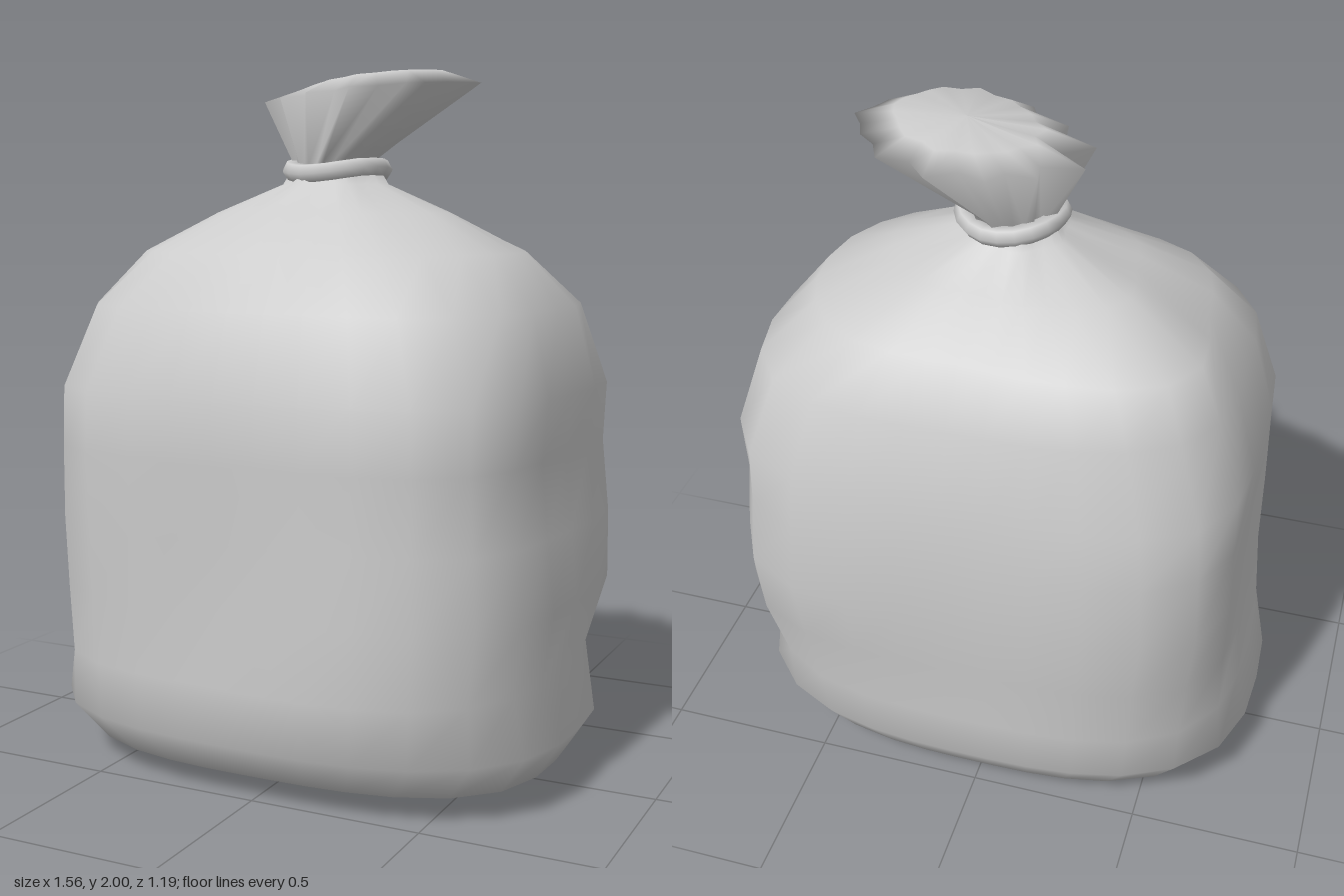
import * as THREE from 'three';

const material = new THREE.MeshStandardMaterial({ color: 0xcccccc, side: THREE.DoubleSide });

// Smooth surface through closed rings of points, listed from bottom to top
function loft(name, rings) {
  const n = rings[0].length;
  const index = [];
  for (let r = 0; r < rings.length - 1; r++) {
    for (let i = 0; i < n; i++) {
      const j = (i + 1) % n;
      const a = r * n + i, b = r * n + j, c = a + n, d = b + n;
      index.push(a, c, b, b, c, d);
    }
  }
  const geometry = new THREE.BufferGeometry();
  geometry.setAttribute('position', new THREE.Float32BufferAttribute(rings.flat(2), 3));
  geometry.setIndex(index);
  geometry.computeVertexNormals();
  const mesh = new THREE.Mesh(geometry, material);
  mesh.name = name;
  return mesh;
}

// One ring: place(angle, i) gives each point; angle runs from +x towards +z
const ring = (n, place) =>
  Array.from({ length: n }, (_, i) => place((i / n) * Math.PI * 2, i));

// Bulges (+) and dents (-) in the sack: angle, height, height spread, amount
const dents = [
  [Math.PI, 0.85, 0.5, -0.05], // right wall
  [0.35, 0.9, 0.65, -0.06], // left wall, towards the front
  [1.9, 0.45, 0.35, -0.04], // front wall, low
  [0.75, 1.4, 0.3, -0.04], // front left shoulder
  [-0.75, 0.9, 0.7, 0.03], // rear left corner
  [3.75, 1.57, 0.17, 0.18], // fold on the rear right shoulder
];
const dentAt = (t, y) => dents.reduce((sum, [angle, height, spread, amount]) =>
  sum + amount * Math.max(0, Math.cos(t - angle)) ** 8
    * Math.max(0, 1 - ((y - height) / spread) ** 2), 0);

function createSack() {
  // y, reach to -x, +x, -z, +z, squareness, pleat depth
  const rows = [
    [0.005, 0.01, 0.01, 0.01, 0.01, 2, 0],
    [0.03, 0.45, 0.46, 0.37, 0.38, 4.5, 0],
    [0.07, 0.70, 0.71, 0.49, 0.49, 2.9, 0],
    [0.18, 0.78, 0.78, 0.56, 0.59, 2.8, 0],
    [0.34, 0.74, 0.73, 0.57, 0.60, 3.1, 0],
    [0.54, 0.74, 0.78, 0.575, 0.60, 3.4, 0],
    [0.74, 0.745, 0.765, 0.595, 0.59, 3.6, 0],
    [0.95, 0.74, 0.745, 0.58, 0.59, 3.6, 0],
    [1.12, 0.735, 0.76, 0.565, 0.59, 3.5, 0],
    [1.35, 0.65, 0.70, 0.51, 0.52, 3.2, 0.005],
    [1.50, 0.52, 0.56, 0.42, 0.40, 2.8, 0.015],
    [1.61, 0.32, 0.35, 0.26, 0.25, 2.3, 0.04],
    [1.69, 0.13, 0.17, 0.14, 0.14, 2, 0.06],
    [1.74, 0.10, 0.14, 0.12, 0.12, 2, 0.06],
  ];
  return loft('sack', rows.map(([y, left, right, back, front, p, pleat]) =>
    ring(30, (t) => {
      const c = Math.cos(t), s = Math.sin(t);
      const a = c < 0 ? left : right, b = s < 0 ? back : front;
      const base = (Math.abs(c / a) ** p + Math.abs(s / b) ** p) ** (-1 / p);
      const r = base * (1 + dentAt(t, y) + pleat * Math.cos(7 * t));
      return [r * c, y, r * s];
    })));
}

// Tuft: pleats leaning to +x, sharper on the -x side; odd points are valleys
function tuftRing(y, cx, cz, rx, rz, depth) {
  return ring(26, (t, i) => {
    const c = Math.cos(t), s = Math.sin(t);
    const k = i % 2 ? 1 - depth * (1 - 0.5 * c) : 1 + 0.07 * Math.sin(2.3 * i);
    return [cx + rx * k * c, y + 0.02 * c, cz + rz * k * s];
  });
}

// Wobbly band around the neck
function createTie() {
  const points = ring(10, (t) => new THREE.Vector3(
    0.02 + 0.132 * Math.cos(t), 1.73 + 0.01 * Math.sin(2 * t + 1), 0.13 * Math.sin(t)));
  const path = new THREE.CatmullRomCurve3(points, true);
  const tie = new THREE.Mesh(new THREE.TubeGeometry(path, 20, 0.028, 6, true), material);
  tie.name = 'tie';
  return tie;
}

export function createModel() {
  const group = new THREE.Group();
  group.name = 'tiedSack';
  group.add(
    createSack(),
    createTie(),
    loft('tuft', [
      tuftRing(1.70, 0.02, 0, 0.11, 0.11, 0.06),
      tuftRing(1.75, 0.025, 0, 0.12, 0.125, 0.06),
      tuftRing(1.945, 0.13, -0.02, 0.32, 0.245, 0.17),
      tuftRing(1.982, 0.14, -0.01, 0.20, 0.18, 0.06),
      ring(26, () => [0.14, 1.995, -0.01]),
    ]),
  );
  return group;
}
